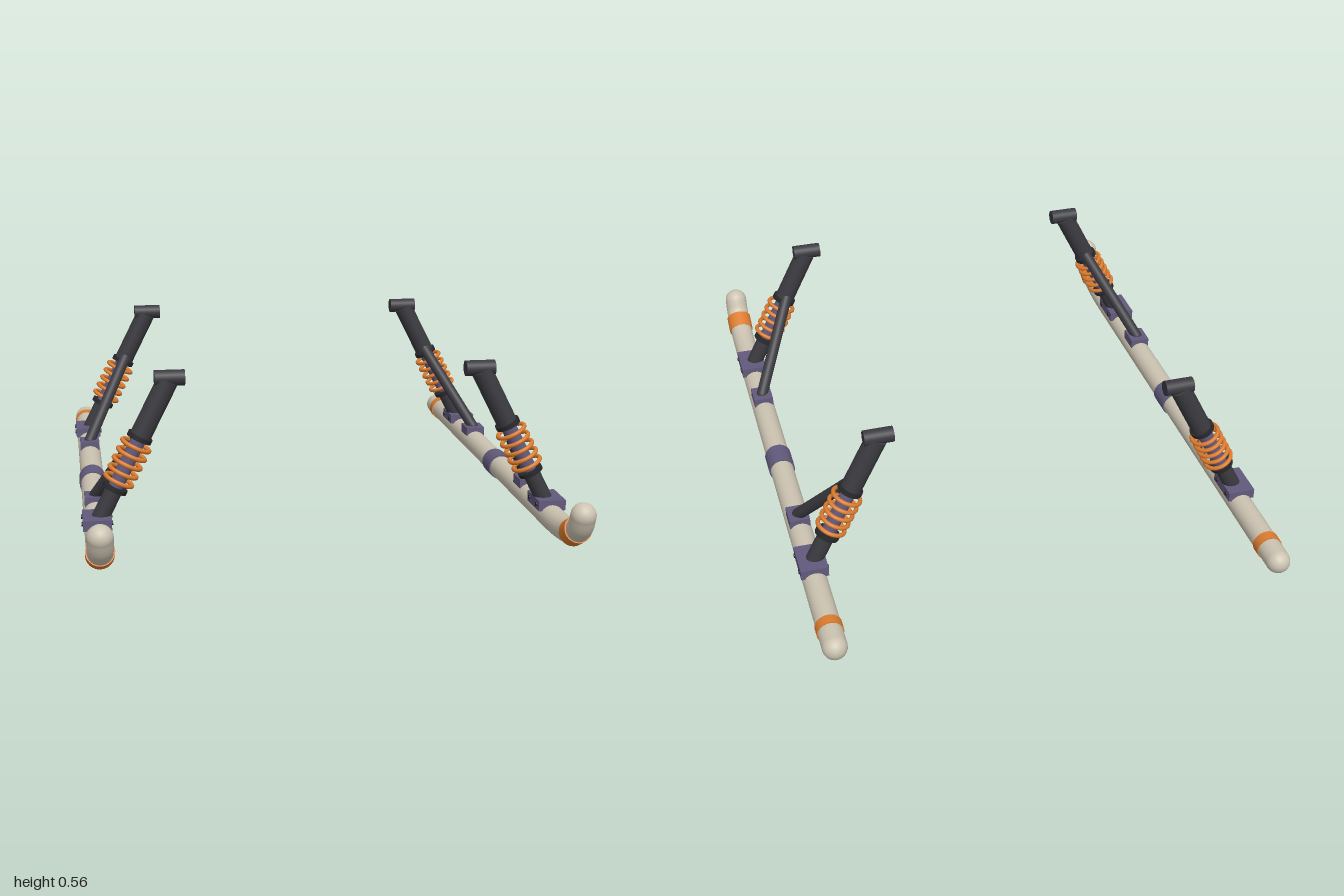
import * as THREE from 'three';

const mat = (name, color) => Object.assign(new THREE.MeshStandardMaterial({ color }), { name });
const V = (x, y, z) => new THREE.Vector3(x, y, z);
const UP = V(0, 1, 0);

export function createModel() {
  const cream = mat('cream', 0xcdc4b2);
  const orange = mat('orange', 0xdc7c30);
  const black = mat('black', 0x3a3a40);
  const darkBlack = mat('darkBlack', 0x28282c);
  const purple = mat('purple', 0x625a7c);

  const add = (parent, name, geo, material, pos) => {
    const m = new THREE.Mesh(geo, material);
    m.name = name;
    if (pos) m.position.copy(pos);
    parent.add(m);
    return m;
  };
  // Cylinder running from a to b
  const rod = (parent, name, a, b, r, material) => {
    const d = b.clone().sub(a);
    const m = add(parent, name, new THREE.CylinderGeometry(r, r, d.length(), 24), material,
      a.clone().add(b).multiplyScalar(0.5));
    m.quaternion.setFromUnitVectors(UP, d.normalize());
    return m;
  };

  const X = 0.73, CY = 0.045, R = 0.04;

  // Skid tube with upturned nose, clamps and bands; s is the side of the model
  function skid(s) {
    const g = new THREE.Group();
    g.name = s > 0 ? 'leftSkid' : 'rightSkid';
    const x = s * X;
    const nose = new THREE.CatmullRomCurve3([
      [0.045, 0.68], [0.048, 0.76], [0.056, 0.83], [0.075, 0.9], [0.105, 0.943], [0.145, 0.964],
    ].map(([y, z]) => V(x, y, z)));
    rod(g, 'skidTube', V(x, CY, -0.957), V(x, CY, 0.68), R, cream);
    add(g, 'skidNose', new THREE.TubeGeometry(nose, 28, R, 24), cream);
    const ball = new THREE.SphereGeometry(R, 24, 16);
    add(g, 'noseCap', ball, cream, V(x, 0.145, 0.964));
    add(g, 'tailCap', ball, cream, V(x, CY, -0.957));
    rod(g, 'middleClamp', V(x, CY, -0.045), V(x, CY, 0.045), 0.045, purple);
    rod(g, 'rearBand', V(x, CY, -0.893), V(x, CY, -0.858), 0.0435, orange);
    rod(g, 'frontBand', V(x, 0.061, 0.868), V(x, 0.088, 0.921), 0.0445, orange);
    return g;
  }

  // Sprung leg with diagonal brace; f is +1 at the front and -1 at the rear
  function leg(s, f) {
    const g = new THREE.Group();
    g.name = (f > 0 ? 'front' : 'rear') + (s > 0 ? 'Left' : 'Right') + 'Leg';
    const z = f * 0.592;
    // Point on the leg axis at height y
    const at = (y) => V(s * (0.72 - (y - 0.09) * 0.506), y, z);
    const axis = at(1).sub(at(0)).normalize();

    add(g, 'footPlate', new THREE.BoxGeometry(0.09, 0.034, 0.128), purple, V(s * X, 0.083, z));
    for (const dx of [-1, 1]) for (const dz of [-1, 1]) {
      const p = V(s * X + dx * 0.043, 0.084, z + dz * 0.04);
      rod(g, 'bolt', p, p.clone().add(V(dx * 0.006, 0, 0)), 0.007, darkBlack);
    }

    rod(g, 'lowerTube', at(0.085), at(0.19), 0.028, black);
    rod(g, 'lowerSpringSeat', at(0.18), at(0.192), 0.041, darkBlack);
    rod(g, 'piston', at(0.19), at(0.345), 0.024, purple);
    for (let i = 0; i < 5; i++) {
      const ring = add(g, 'springCoil', new THREE.TorusGeometry(0.046, 0.007, 10, 32), orange,
        at(0.211 + i * 0.0275));
      ring.quaternion.setFromUnitVectors(V(0, 0, 1), axis);
    }
    rod(g, 'upperSpringSeat', at(0.34), at(0.353), 0.041, darkBlack);
    rod(g, 'upperTube', at(0.35), at(0.525), 0.034, black);
    rod(g, 'mountSleeve', V(s * 0.447, 0.533, z), V(s * 0.542, 0.533, z), 0.025, black);

    // Diagonal brace down to its own small plate
    const foot = V(s * X, 0.095, f * 0.36);
    add(g, 'bracePlate', new THREE.BoxGeometry(0.068, 0.032, 0.08), purple, V(s * X, 0.084, f * 0.36));
    rod(g, 'brace', foot, at(0.385), 0.02, black);
    add(g, 'braceFoot', new THREE.SphereGeometry(0.02, 16, 12), black, foot);
    return g;
  }

  const model = new THREE.Group();
  model.name = 'skidLandingGear';
  for (const s of [-1, 1]) model.add(skid(s), leg(s, 1), leg(s, -1));
  return model;
}
